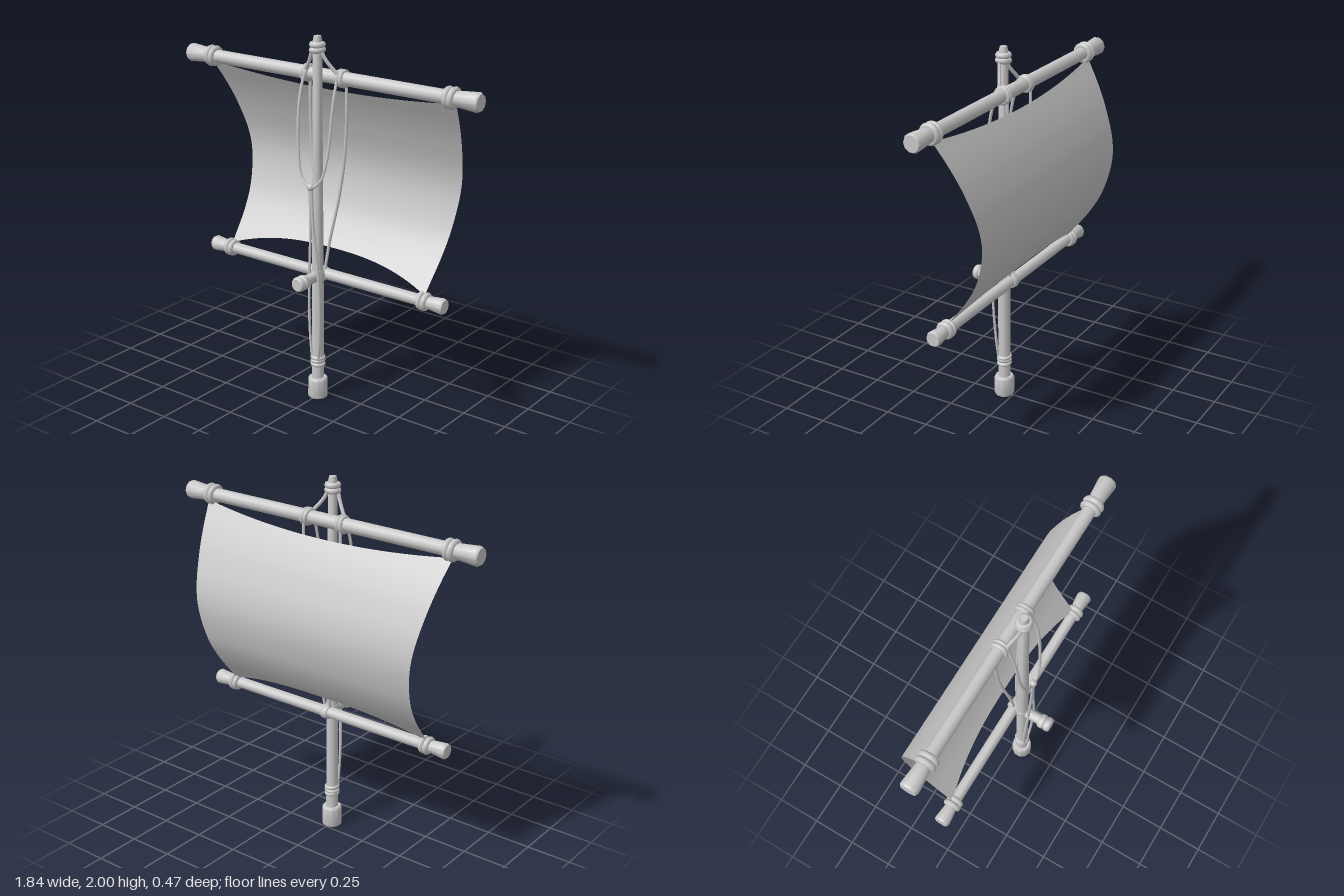
import * as THREE from 'three';
import { toCreasedNormals } from 'three/addons/utils/BufferGeometryUtils.js';

const V = (x, y, z) => new THREE.Vector3(x, y, z);

export function createModel() {
  const group = new THREE.Group();
  const grey = new THREE.MeshStandardMaterial({ color: 0xc8c8c8 });
  grey.name = 'plain grey';
  const cloth = new THREE.MeshStandardMaterial({ color: 0xc8c8c8, side: THREE.DoubleSide });
  cloth.name = 'sail grey';

  function add(name, geometry, material = grey) {
    const mesh = new THREE.Mesh(geometry, material);
    mesh.name = name;
    group.add(mesh);
    return mesh;
  }

  // Turned pole: profile of [radius, distance along axis], axis 'x', 'y' or 'z'
  function pole(name, profile, axis, x, y, z) {
    const pts = profile.map(([r, d]) => new THREE.Vector2(r, d));
    const geo = toCreasedNormals(new THREE.LatheGeometry(pts, 10), 0.8);
    if (axis === 'x') geo.rotateZ(-Math.PI / 2);
    if (axis === 'z') geo.rotateX(Math.PI / 2);
    const mesh = add(name, geo);
    mesh.position.set(x, y, z);
    return mesh;
  }

  // Rope turn around a pole
  function ring(name, radius, thick, axis, x, y, z, tilt = 0) {
    const geo = new THREE.TorusGeometry(radius, thick, 8, 18);
    if (axis === 'x') geo.rotateY(Math.PI / 2);
    if (axis === 'y') geo.rotateX(Math.PI / 2);
    const mesh = add(name, geo);
    mesh.position.set(x, y, z);
    if (axis === 'x') mesh.rotation.z = tilt;
    else mesh.rotation.z = tilt;
  }

  function rope(name, points, radius = 0.008) {
    const curve = new THREE.CatmullRomCurve3(points);
    add(name, new THREE.TubeGeometry(curve, 40, radius, 6));
  }

  // Mast with its foot and tip
  const mz = 0.055;
  pole('mast', [[0, 0.1], [0.034, 0.1], [0.033, 0.7], [0.028, 1.4], [0.025, 1.975], [0.019, 2], [0, 2]], 'y', 0, 0, mz);
  pole('mastFoot', [[0, 0], [0.052, 0], [0.056, 0.012], [0.055, 0.105], [0.048, 0.115], [0, 0.115]], 'y', 0, 0, mz);
  ring('mastHeadLashing', 0.027, 0.016, 'y', 0, 1.955, mz);
  ring('mastHeadLashing', 0.028, 0.016, 'y', 0, 1.928, mz, 0.08);
  [0.195, 0.215, 0.235].forEach((y, i) => ring('mastFootLashing', 0.031, 0.011, 'y', 0, y, mz, i % 2 ? 0.12 : -0.08));

  // Yard and boom, each flared towards both ends
  function spar(name, half, r, flare, neck, y, z) {
    const side = [[0, half], [flare * 0.85, half], [flare, half - 0.012], [r * 1.08, neck], [r, neck - 0.04]];
    const profile = [...side.map(([a, d]) => [a, -d]), [r, 0], ...side.slice().reverse()];
    pole(name, profile, 'x', 0, y, z);
  }
  const yardY = 1.785, boomY = 0.71;
  spar('yard', 0.92, 0.036, 0.05, 0.78, yardY, -0.008);
  spar('boom', 0.768, 0.031, 0.043, 0.67, boomY, 0.008);

  // Lashings holding the sail and the rigging
  for (const s of [-1, 1]) {
    ring('yardEndLashing', 0.041, 0.016, 'x', s * 0.742, yardY, -0.008, 0.06 * s);
    ring('yardEndLashing', 0.041, 0.017, 'x', s * 0.77, yardY, -0.008, -0.06 * s);
    ring('yardMiddleLashing', 0.036, 0.013, 'x', s * 0.102, yardY, -0.008, 0.1 * s);
    ring('yardMiddleLashing', 0.036, 0.013, 'x', s * 0.122, yardY, -0.008, 0.1 * s);
    ring('boomEndLashing', 0.034, 0.015, 'x', s * 0.628, boomY, 0.008, 0.08 * s);
    ring('boomEndLashing', 0.034, 0.016, 'x', s * 0.655, boomY, 0.008, -0.08 * s);
  }

  // Handle through the mast, with a knob
  pole('handle', [[0, 0], [0.029, 0], [0.029, 0.17], [0, 0.17]], 'z', 0, boomY, 0);
  pole('handleKnob', [[0, 0.163], [0.033, 0.163], [0.04, 0.172], [0.041, 0.193], [0.034, 0.2],
    [0.041, 0.207], [0.04, 0.228], [0.033, 0.236], [0, 0.236]], 'z', 0, boomY, 0);
  pole('boomCollar', [[0, -0.021], [0.036, -0.021], [0.041, -0.012], [0.041, 0.012], [0.036, 0.021], [0, 0.021]], 'x', 0, boomY, 0.008);
  pole('mastCollar', [[0, -0.032], [0.036, -0.032], [0.04, 0], [0.036, 0.032], [0, 0.032]], 'y', 0, boomY, mz);

  // Billowing sail: its depth depends on height, its edges are hollowed
  const belly = new THREE.SplineCurve([[0.735, 0.005], [0.8, -0.045], [0.9, -0.12], [1.03, -0.19], [1.2, -0.232],
    [1.34, -0.222], [1.5, -0.165], [1.62, -0.105], [1.71, -0.05], [1.755, -0.022]].map(p => new THREE.Vector2(...p)));
  const samples = belly.getPoints(120);
  function depthAt(y) {
    let i = 1;
    while (i < samples.length - 1 && samples[i].x < y) i++;
    const a = samples[i - 1], b = samples[i];
    return THREE.MathUtils.lerp(a.y, b.y, (y - a.x) / (b.x - a.x));
  }
  const sail = new THREE.PlaneGeometry(2, 1, 32, 32);
  const pos = sail.attributes.position;
  for (let i = 0; i < pos.count; i++) {
    const u = pos.getX(i), v = pos.getY(i) + 0.5;
    const top = 1.7 + 0.053 * u * u;
    const bottom = 0.83 - 0.092 * Math.pow(Math.abs(u), 2.5);
    const y = THREE.MathUtils.lerp(bottom, top, v);
    const width = 0.642 + 0.063 * v + 0.07 * v * v;
    pos.setXYZ(i, u * width, y, depthAt(y));
  }
  sail.computeVertexNormals();
  add('sail', sail, cloth);

  // Rigging ropes
  for (const s of [-1, 1]) {
    rope('headStay', [V(s * 0.022, 1.945, 0.065), V(s * 0.05, 1.88, 0.05), V(s * 0.085, 1.83, 0.03), V(s * 0.11, 1.8, 0.02)], 0.01);
    rope('backStay', [V(s * 0.116, 1.77, -0.035), V(s * 0.117, 1.6, -0.036), V(s * 0.105, 1.35, -0.035),
      V(s * 0.075, 1.13, -0.027), V(s * 0.035, 0.9, -0.005), V(s * 0.015, 0.74, 0.01)]);
  }
  rope('frontLoop', [V(-0.105, 1.78, 0.035), V(-0.107, 1.65, 0.07), V(-0.095, 1.4, 0.095), V(-0.06, 1.26, 0.11), V(0, 1.215, 0.115),
    V(0.06, 1.26, 0.11), V(0.095, 1.4, 0.095), V(0.107, 1.65, 0.07), V(0.105, 1.78, 0.035)]);
  const knot = add('loopKnot', new THREE.SphereGeometry(0.02, 10, 8));
  knot.position.set(0, 1.218, 0.115);
  rope('downRope', [V(0.005, 1.21, 0.115), V(0.012, 1, 0.11), V(0.037, 0.75, 0.103), V(0.043, 0.55, 0.098), V(0.035, 0.36, 0.088), V(0.02, 0.22, 0.08)]);
  rope('downRope', [V(-0.005, 1.21, 0.115), V(-0.005, 1, 0.11), V(-0.018, 0.75, 0.103), V(-0.028, 0.5, 0.093), V(-0.028, 0.36, 0.085), V(-0.02, 0.22, 0.08)]);

  return group;
}
